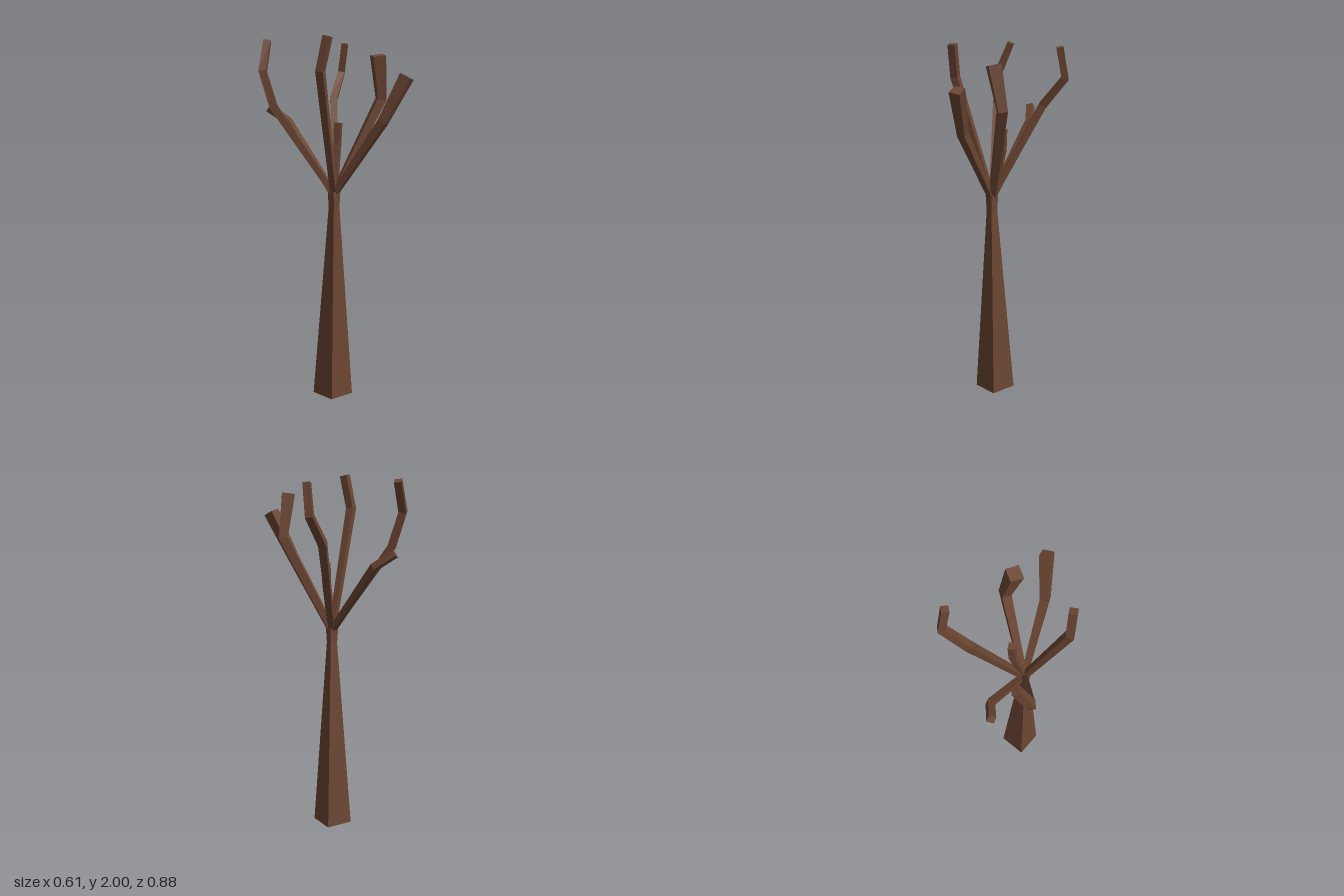
import * as THREE from 'three';

const bark = new THREE.MeshStandardMaterial({ color: 0x6b4532, flatShading: true });

// Square-section limb swept along points [x, y, z, half width]; side sets the roll.
function limb(name, points, side) {
  const centres = points.map(([x, y, z]) => new THREE.Vector3(x, y, z));
  const last = points.length - 1;
  const rings = centres.map((c, i) => {
    const before = centres[i].clone().sub(centres[Math.max(i - 1, 0)]).normalize();
    const after = centres[Math.min(i + 1, last)].clone().sub(centres[i]).normalize();
    const t = before.add(after).normalize();
    const s = side.clone().addScaledVector(t, -side.dot(t)).normalize();
    const u = t.clone().cross(s);
    const h = points[i][3];
    return [[1, 1], [-1, 1], [-1, -1], [1, -1]].map(([a, b]) => {
      const p = c.clone().addScaledVector(s, a * h).addScaledVector(u, b * h);
      p.y = Math.max(p.y, 0);
      return p;
    });
  });
  const corners = [];
  const quad = (a, b, c, d) => corners.push(a, b, c, a, c, d);
  for (let i = 0; i < last; i++) {
    for (let j = 0; j < 4; j++) {
      const k = (j + 1) % 4;
      quad(rings[i][j], rings[i][k], rings[i + 1][k], rings[i + 1][j]);
    }
  }
  quad(...rings[last]);
  quad(...rings[0].slice().reverse());
  const geometry = new THREE.BufferGeometry().setFromPoints(corners);
  geometry.computeVertexNormals();
  const mesh = new THREE.Mesh(geometry, bark);
  mesh.name = name;
  return mesh;
}

// Branch growing from the crown; its section stays level across its heading.
function branch(name, ...path) {
  const root = [-0.067, 1.15, 0.003, 0.016];
  const side = new THREE.Vector3(path[0][2] - root[2], 0, root[0] - path[0][0]).normalize();
  return limb(name, [root, ...path], side);
}

export function createModel() {
  const tree = new THREE.Group();
  tree.name = 'bareTree';

  // Tapered four-sided trunk with a slight flare at the crown
  tree.add(limb('trunk', [
    [-0.06, 0, -0.013, 0.078],
    [-0.067, 1.08, 0.003, 0.021],
    [-0.067, 1.165, 0.003, 0.025],
  ], new THREE.Vector3(0.98, 0, 0.19)));

  // Branches, each bending once or twice
  tree.add(
    branch('frontBranch', [-0.025, 1.55, 0.295, 0.023], [0.035, 1.79, 0.405, 0.031]),
    branch('frontLeftBranch', [0.14, 1.67, 0.172, 0.025], [0.092, 1.905, 0.183, 0.035]),
    branch('backLeftBranch', [0.155, 1.67, -0.165, 0.021], [0.275, 1.82, -0.2, 0.02], [0.262, 1.985, -0.165, 0.019]),
    branch('backBranch', [-0.057, 1.545, -0.332, 0.018], [-0.117, 1.62, -0.423, 0.019]),
    branch('backRightBranch', [-0.25, 1.63, -0.272, 0.021], [-0.276, 1.82, -0.325, 0.021], [-0.207, 1.985, -0.35, 0.02]),
    branch('rightBranch', [-0.271, 1.815, 0.068, 0.021], [-0.256, 1.995, 0.105, 0.021]),
    branch('shortBranch', [-0.008, 1.42, -0.018, 0.018], [-0.003, 1.54, -0.016, 0.019]),
  );
  return tree;
}
